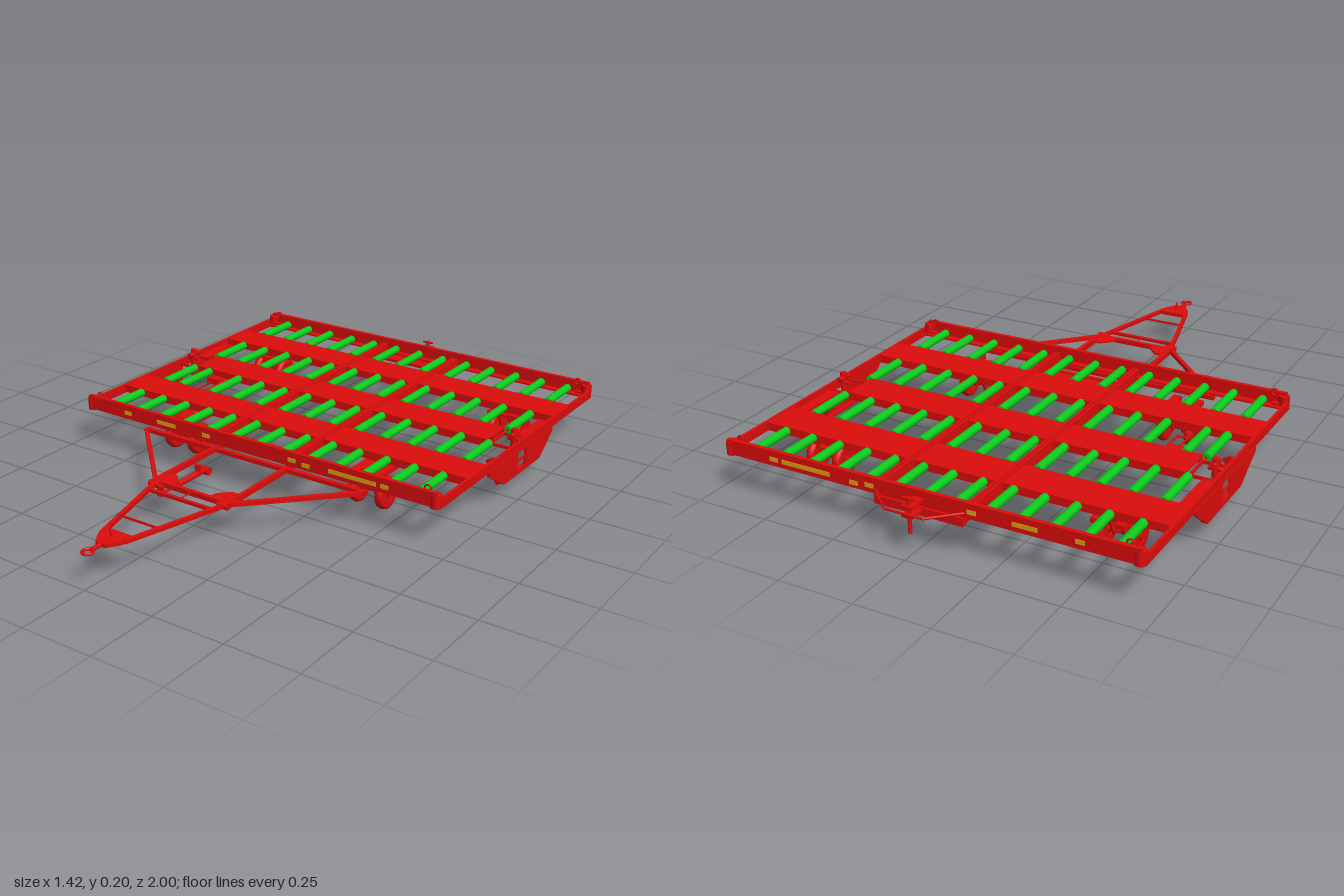
import * as THREE from 'three';

const mat = (color) => new THREE.MeshStandardMaterial({ color, side: THREE.DoubleSide });
const RED = mat(0xdd0c0c), GREEN = mat(0x0bcc1c), YELLOW = mat(0xe0a010);
const V = (x, y, z) => new THREE.Vector3(x, y, z);

export function createModel() {
  const root = new THREE.Group();
  root.name = 'rollerTrailer';

  const add = (name, geo, x = 0, y = 0, z = 0, m = RED, parent = root) => {
    const mesh = new THREE.Mesh(geo, m);
    mesh.name = name;
    mesh.position.set(x, y, z);
    parent.add(mesh);
    return mesh;
  };
  // Box given by its limits
  const box = (name, x0, x1, y0, y1, z0, z1, m = RED, parent = root) =>
    add(name, new THREE.BoxGeometry(x1 - x0, y1 - y0, z1 - z0),
      (x0 + x1) / 2, (y0 + y1) / 2, (z0 + z1) / 2, m, parent);
  // Square bar between two points
  const bar = (name, a, b, w, h = w) => {
    const mesh = add(name, new THREE.BoxGeometry(w, h, a.distanceTo(b)));
    mesh.position.copy(a).add(b).multiplyScalar(0.5);
    mesh.lookAt(b);
    return mesh;
  };
  // Round rod between two points
  const rod = (name, a, b, r, m = RED) => {
    const mesh = add(name, new THREE.CylinderGeometry(r, r, a.distanceTo(b), 14), 0, 0, 0, m);
    mesh.position.copy(a).add(b).multiplyScalar(0.5);
    mesh.quaternion.setFromUnitVectors(V(0, 1, 0), b.clone().sub(a).normalize());
    return mesh;
  };
  const shape = (pts) => new THREE.Shape(pts.map((p) => new THREE.Vector2(...p)));
  // Flat plate drawn in x and z
  const plate = (name, pts, y, h) => {
    const geo = new THREE.ExtrudeGeometry(shape(pts), { depth: h, bevelEnabled: false });
    geo.rotateX(Math.PI / 2);
    return add(name, geo, 0, y + h, 0);
  };
  // Upright plate drawn in z and y
  const sidePlate = (name, s, x, w) => {
    const geo = new THREE.ExtrudeGeometry(s, { depth: w, bevelEnabled: false });
    geo.rotateY(-Math.PI / 2);
    return add(name, geo, x + w / 2, 0, 0);
  };

  // Outer frame: end beams, side beams and rounded corner posts
  for (const [name, z] of [['frontBeam', 0.2], ['rearBeam', -0.91]]) {
    box(name, -0.693, 0.693, 0.137, 0.186, z - 0.007, z + 0.007);
    const s = z > 0 ? 1 : -1;
    box(name + 'Flange', -0.69, 0.69, 0.137, 0.143, z - s * 0.02 - 0.013, z - s * 0.02 + 0.013);
    // Warning strips
    for (const [a, b, y] of [[-0.53, -0.5, 0.152], [-0.385, -0.305, 0.152], [-0.19, -0.16, 0.152],
      [0.155, 0.185, 0.152], [0.21, 0.24, 0.147], [0.31, 0.485, 0.152], [0.5, 0.53, 0.152]])
      box('warningStrip', a, b, y, y + 0.014, z + s * 0.007 - 0.002, z + s * 0.007 + 0.002, YELLOW);
    for (const sx of [-1, 1]) {
      add('cornerPost', new THREE.CylinderGeometry(0.018, 0.018, 0.045, 16), sx * 0.687, 0.155, z - s * 0.008);
      add('tieRing', new THREE.TorusGeometry(0.011, 0.003, 6, 14), sx * 0.655, 0.186, z - s * 0.012);
      box('cornerGusset', sx * 0.675 - 0.025, sx * 0.675 + 0.025, 0.145, 0.152,
        z - s * 0.012 - 0.012, z - s * 0.012 + 0.012);
    }
  }

  // Deck planks
  for (const [z0, z1, hw] of [[-0.725, -0.603, 0.7], [-0.418, -0.296, 0.605], [-0.11, 0.01, 0.7]]) {
    box('deckPlank', -hw, hw, 0.156, 0.162, z0, z1);
    for (const z of [z0, z1]) box('plankLip', -hw, hw, 0.135, 0.162, z - 0.003, z + 0.003);
  }

  // Rollers, thirteen in each of four rows
  [[-0.905, -0.728], [-0.6, -0.421], [-0.293, -0.113], [0.013, 0.193]].forEach(([z0, z1], row) => {
    for (let i = -6; i <= 6; i++) {
      const x = row === 2 && i === -5 ? -0.545 : i * 0.1024;
      rod('roller', V(x, 0.152, z0 + 0.004), V(x, 0.152, z1 - 0.004), 0.0145, GREEN);
      rod('rollerShaft', V(x, 0.152, z0), V(x, 0.152, z1), 0.004);
    }
  });

  // Cross plates between the rails
  box('rearCrossPlate', -0.15, 0.15, 0.115, 0.125, -0.91, -0.855);
  box('frontCrossPlate', -0.15, 0.15, 0.115, 0.125, 0.075, 0.135);
  box('frontCrossChannel', -0.165, 0.16, 0.1, 0.131, 0.12, 0.135);

  for (const s of [-1, 1]) {
    // Side beams and long rails
    box('sideBeam', s * 0.7 - 0.005, s * 0.7 + 0.005, 0.132, 0.163, -0.9, 0.195);
    for (const x of [0.146, 0.16]) box('longRail', s * x - 0.004, s * x + 0.004, 0.13, 0.167, -0.91, 0.2);
    box('railWeb', s * 0.153 - 0.005, s * 0.153 + 0.005, 0.132, 0.158, -0.91, 0.2);

    // Trapezoid side skirt with a divided window
    const skirt = shape([[-0.58, 0.135], [-0.58, 0.12], [-0.49, 0.05], [-0.23, 0.05], [-0.114, 0.12], [-0.114, 0.135]]);
    for (const y of [0.065, 0.1]) {
      const hole = new THREE.Path();
      hole.moveTo(-0.38, y).lineTo(-0.32, y).lineTo(-0.32, y + 0.029).lineTo(-0.38, y + 0.029).closePath();
      skirt.holes.push(hole);
    }
    sidePlate('sideSkirt', skirt, s * 0.704, 0.008);
    box('skirtFoot', s * 0.695 - 0.01, s * 0.695 + 0.01, 0.05, 0.056, -0.49, -0.23);
    box('skirtTop', s * 0.678 - 0.024, s * 0.678 + 0.024, 0.142, 0.148, -0.58, -0.41);
    for (const [z0, z1] of [[-0.555, -0.4], [-0.3, -0.14]])
      bar('skirtBrace', V(s * 0.655, 0.132, (z0 + z1) / 2), V(s * 0.698, 0.055, (z0 + z1) / 2), 0.01, 0.03);
    // Side latch in an open frame
    for (const z of [-0.405, -0.305]) box('latchFrame', s * 0.65 - 0.045, s * 0.65 + 0.045, 0.14, 0.15, z - 0.003, z + 0.003);
    box('latchFrame', s * 0.61 - 0.003, s * 0.61 + 0.003, 0.14, 0.15, -0.405, -0.305);
    rod('latchPin', V(s * 0.672, 0.13, -0.355), V(s * 0.672, 0.195, -0.355), 0.011);
    rod('latchBar', V(s * 0.672, 0.176, -0.382), V(s * 0.672, 0.176, -0.328), 0.009);
    rod('latchArm', V(s * 0.65, 0.16, -0.355), V(s * 0.7, 0.16, -0.355), 0.008);
  }

  // Twin wheel sets on swivel brackets
  const tyre = [[0.024, -0.013], [0.046, -0.015], [0.053, -0.011], [0.056, 0], [0.053, 0.011], [0.046, 0.015], [0.024, 0.013]]
    .map((p) => new THREE.Vector2(...p));
  const tyreGeo = new THREE.LatheGeometry(tyre, 28).rotateZ(Math.PI / 2);
  const hubGeo = new THREE.CylinderGeometry(0.027, 0.027, 0.02, 20).rotateZ(Math.PI / 2);
  const capGeo = new THREE.CylinderGeometry(0.012, 0.012, 0.032, 12).rotateZ(Math.PI / 2);
  for (const s of [-1, 1]) for (const [cx, z, tail] of [[0.51, -0.65, -0.745], [0.38, 0.05, -0.035]]) {
    const x = s * cx;
    for (const dx of [-0.05, 0.05]) {
      add('tyre', tyreGeo, x + dx, 0.056, z);
      add('wheelHub', hubGeo, x + dx, 0.056, z);
      add('hubCap', capGeo, x + dx, 0.056, z);
    }
    rod('axle', V(x - 0.05, 0.056, z), V(x + 0.05, 0.056, z), 0.008);
    const fork = shape([[z - 0.055, 0.12], [z - 0.015, 0.045], [z + 0.015, 0.045], [z + 0.045, 0.12]]);
    for (const dx of [-0.018, 0.018]) sidePlate('wheelFork', fork, x + dx, 0.005);
    box('forkTop', x - 0.025, x + 0.025, 0.112, 0.12, z - 0.055, z + 0.045);
    add('swivel', new THREE.CylinderGeometry(0.024, 0.024, 0.014, 20), x, 0.126, z);
    for (const dx of [-0.04, 0.04])
      box('bracketChannel', x + dx - 0.014, x + dx + 0.014, 0.117, 0.133, tail, tail + 0.16);
    box('bracketPlate', x - 0.04, x + 0.04, 0.125, 0.133, z - 0.035, z + 0.035);
  }

  // Drawbar carrier under the front of the deck
  box('carrierCrossBar', -0.44, 0.44, 0.108, 0.122, 0.19, 0.206);
  box('hingeBar', -0.155, 0.155, 0.107, 0.123, 0.498, 0.512);
  for (const s of [-1, 1]) {
    box('carrierRail', s * 0.144 - 0.007, s * 0.144 + 0.007, 0.108, 0.126, -0.03, 0.52);
    bar('carrierDiagonal', V(s * 0.435, 0.115, 0.205), V(s * 0.148, 0.115, 0.5), 0.014);
    plate('carrierGusset', [[s * 0.14, 0.5], [s * 0.07, 0.5], [s * 0.075, 0.475], [s * 0.11, 0.44], [s * 0.14, 0.44]], 0.117, 0.006);
    rod('hingePin', V(s * 0.115, 0.115, 0.52), V(s * 0.155, 0.115, 0.52), 0.011);
    // Drawbar legs
    bar('drawbarLeg', V(s * 0.138, 0.115, 0.515), V(s * 0.045, 0.115, 0.87), 0.013);
  }
  box('drawbarCrossBar', -0.124, 0.124, 0.11, 0.12, 0.557, 0.568);
  box('drawbarTieBar', -0.078, 0.078, 0.112, 0.118, 0.747, 0.752);
  plate('drawbarNose', [[-0.055, 0.838], [0.055, 0.838], [0.045, 0.885], [0.018, 0.925], [-0.018, 0.925], [-0.045, 0.885]], 0.109, 0.012);
  rod('towShank', V(0, 0.115, 0.86), V(0, 0.115, 0.96), 0.007);
  add('towEye', new THREE.TorusGeometry(0.016, 0.005, 8, 24).rotateX(Math.PI / 2), 0, 0.115, 0.978);
  rod('towLever', V(0, 0.115, 0.875), V(0, 0.15, 0.88), 0.003);
  rod('releaseCable', V(0, 0.117, 0.5), V(0, 0.117, 0.56), 0.002);

  // Damper beside the drawbar rail
  rod('damperTube', V(-0.112, 0.086, 0.29), V(-0.112, 0.086, 0.44), 0.01);
  rod('damperRod', V(-0.112, 0.086, 0.43), V(-0.112, 0.086, 0.53), 0.005);
  for (const z of [0.33, 0.52]) box('damperMount', -0.122, -0.102, 0.08, 0.115, z - 0.006, z + 0.006);
  rod('damperJoint', V(-0.132, 0.086, 0.3), V(-0.09, 0.086, 0.3), 0.014);

  // Small brake lever unit under the deck
  box('brakeBox', -0.525, -0.47, 0.125, 0.148, -0.275, -0.245);
  rod('brakeRod', V(-0.465, 0.135, -0.29), V(-0.465, 0.135, -0.16), 0.004);
  rod('brakeRod', V(-0.5, 0.135, -0.24), V(-0.5, 0.135, -0.16), 0.003);
  rod('brakeRod', V(-0.505, 0.135, -0.16), V(-0.46, 0.135, -0.16), 0.004);

  // Rear coupling: guard loop and vertical pin
  const loop = [V(-0.15, 0.15, -0.915), V(-0.065, 0.15, -0.996), V(0.065, 0.15, -0.996), V(0.15, 0.15, -0.915)];
  for (let i = 0; i < 3; i++) rod('rearGuard', loop[i], loop[i + 1], 0.004);
  rod('couplingPin', V(0, 0.072, -0.965), V(0, 0.187, -0.965), 0.006);
  for (const y of [0.13, 0.16]) box('couplingJaw', -0.018, 0.018, y - 0.004, y + 0.004, -0.98, -0.91);
  rod('couplingHandle', V(-0.02, 0.182, -0.965), V(0.02, 0.182, -0.965), 0.004);
  box('couplingBase', -0.15, 0.15, 0.11, 0.137, -0.925, -0.905);

  return root;
}
